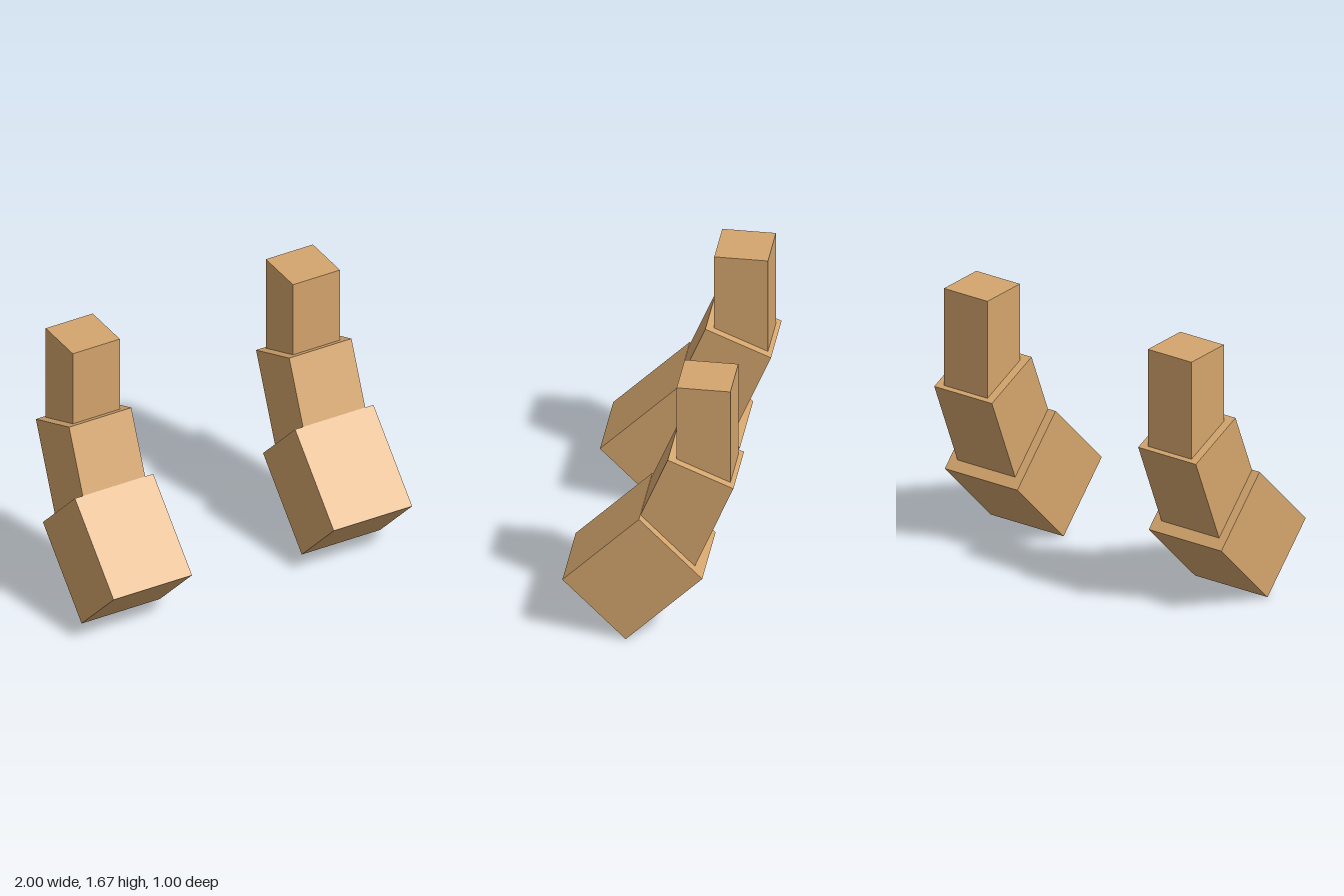
import * as THREE from 'three';

export function createModel() {
  const model = new THREE.Group();
  model.name = 'armPair';
  const tan = new THREE.MeshStandardMaterial({ color: 0xd4a56d });
  tan.name = 'tan';

  // name, square width, length, centre y, centre z, backward tilt in degrees
  const segments = [
    ['lowerSegment', 0.525, 0.635, 0.41, 0.09, -45],
    ['middleSegment', 0.417, 0.63, 0.834, -0.182, -22.5],
    ['upperSegment', 0.315, 0.64, 1.35, -0.312, 0],
  ];

  // One curved stack of boxes on each side
  for (const side of [1, -1]) {
    const arm = new THREE.Group();
    arm.name = side > 0 ? 'leftArm' : 'rightArm';
    arm.position.x = side * 0.7375;
    for (const [name, width, length, y, z, tilt] of segments) {
      const mesh = new THREE.Mesh(new THREE.BoxGeometry(width, length, width), tan);
      mesh.name = name;
      mesh.position.set(0, y, z);
      mesh.rotation.x = THREE.MathUtils.degToRad(tilt);
      arm.add(mesh);
    }
    model.add(arm);
  }
  return model;
}
